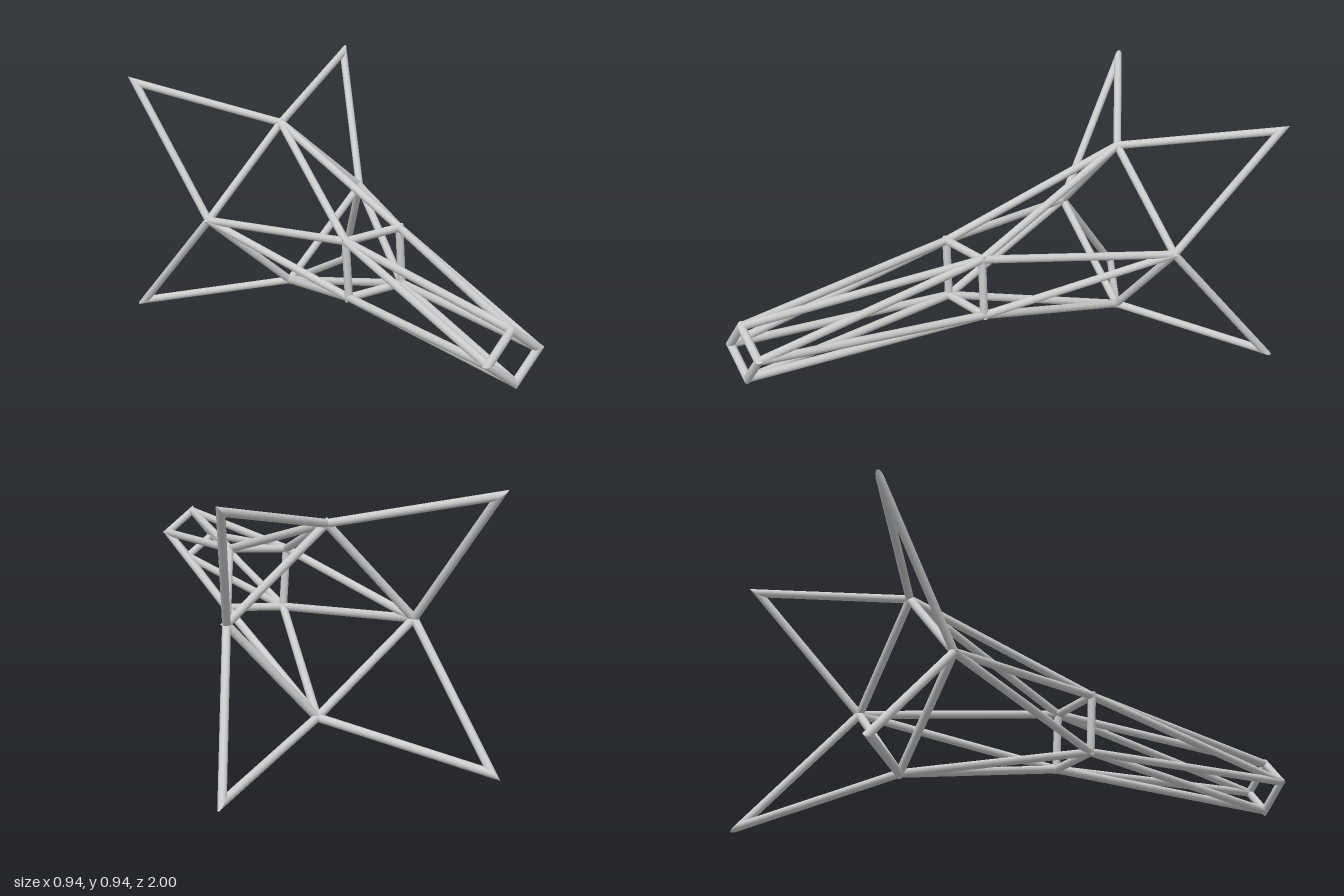
import * as THREE from 'three';

const RADIUS = 0.0145;
const CENTRE_Y = 0.4705;

// Four nodes a quarter turn apart, going clockwise from the first (x, y)
function ringNodes(x, y, z) {
  const nodes = [];
  for (let k = 0; k < 4; k++) {
    nodes.push(new THREE.Vector3(x, y + CENTRE_Y, z));
    [x, y] = [y, -x];
  }
  return nodes;
}

// Round bar from a to b; prevA / nextB are the neighbours an end is mitred against
function strut(a, b, prevA, nextB) {
  const dir = b.clone().sub(a);
  const length = dir.length();
  dir.normalize();
  const geo = new THREE.CylinderGeometry(RADIUS, RADIUS, length, 12, 1);
  const pos = geo.attributes.position;
  const atB = Array.from({ length: pos.count }, (_, i) => pos.getY(i) > 0);
  geo.applyQuaternion(new THREE.Quaternion().setFromUnitVectors(new THREE.Vector3(0, 1, 0), dir));
  const mid = a.clone().add(b).multiplyScalar(0.5);
  geo.translate(mid.x, mid.y, mid.z);

  const v = new THREE.Vector3();
  for (let i = 0; i < pos.count; i++) {
    const node = atB[i] ? b : a;
    const other = atB[i] ? nextB : prevA;
    if (!other) continue;
    // slide the end along the bar onto the mitre plane
    const away = atB[i] ? dir.clone().negate() : dir;
    const normal = away.clone().sub(other.clone().sub(node).normalize());
    v.fromBufferAttribute(pos, i);
    const t = v.clone().sub(node).dot(normal) / dir.dot(normal);
    v.addScaledVector(dir, -t);
    pos.setXYZ(i, v.x, v.y, v.z);
  }
  return geo;
}

export function createModel() {
  const model = new THREE.Group();
  const grey = new THREE.MeshStandardMaterial({ color: 0xcccccc });
  grey.name = 'light grey metal';

  const addGroup = (name, geometries) => {
    const group = new THREE.Group();
    group.name = name;
    geometries.forEach((g, i) => {
      const mesh = new THREE.Mesh(g, grey);
      mesh.name = `${name}Strut${i + 1}`;
      group.add(mesh);
    });
    model.add(group);
  };

  const front = ringNodes(-0.010, 0.094, 0.985);
  const middle = ringNodes(-0.114, 0.102, 0.090);
  const rear = ringNodes(-0.014, 0.325, -0.611);
  const tips = ringNodes(-0.451, 0.451, -0.976);

  // Square rings with mitred corners
  const square = (n) => n.map((p, k) =>
    strut(p, n[(k + 1) % 4], n[(k + 3) % 4], n[(k + 2) % 4]));
  addGroup('frontRing', square(front));
  addGroup('middleRing', square(middle));
  addGroup('rearRing', square(rear));

  // Zigzag bars: each outer node sits between two inner nodes
  const zigzag = (outer, inner, mitred) => outer.flatMap((p, k) => {
    const q1 = inner[k], q2 = inner[(k + 3) % 4];
    return [strut(q1, p, null, mitred ? q2 : null), strut(q2, p, null, mitred ? q1 : null)];
  });
  addGroup('frontBrace', zigzag(middle, front, false));
  addGroup('rearBrace', zigzag(middle, rear, false));
  addGroup('tailPoint', zigzag(tips, rear, true));

  return model;
}
